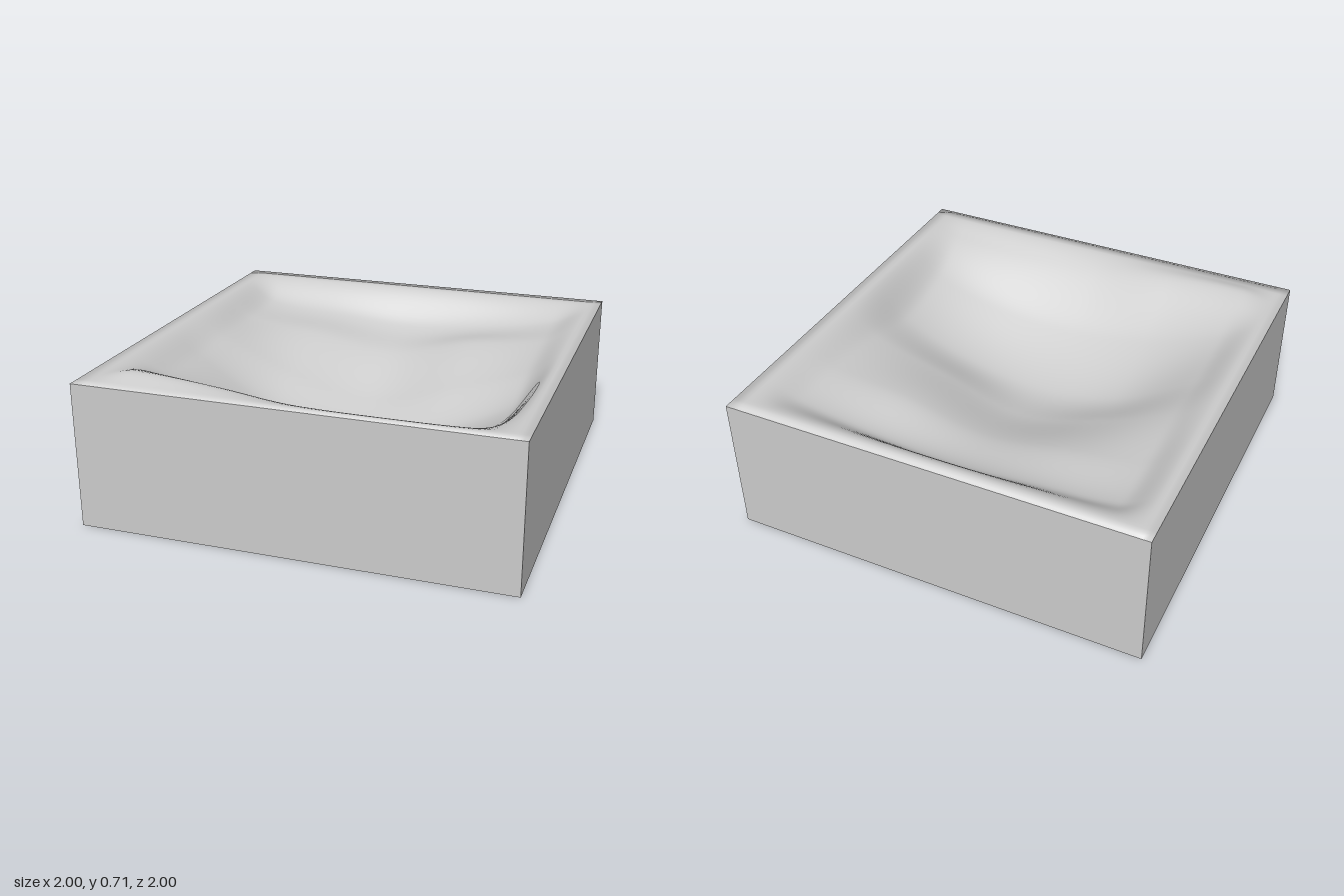
import * as THREE from 'three';

const HEIGHT = 0.68;
const SEGMENTS = 100;
const { clamp, smoothstep } = THREE.MathUtils;

// Depth of the hollow below the rim: one row per z, one column per x
const X_KNOTS = [-0.96, -0.78, -0.4, 0, 0.4, 0.78, 0.96];
const Z_KNOTS = [-0.95, -0.75, -0.45, -0.1, 0.2, 0.55, 0.83, 0.97];
const DEPTHS = [
  [0, 0, 0, 0, 0, 0, 0],
  [0, 0.09, 0.13, 0.16, 0.13, 0.07, 0],
  [0, 0.1, 0.16, 0.22, 0.13, 0.08, 0],
  [0, 0.09, 0.26, 0.35, 0.24, 0.12, 0],
  [0, 0.11, 0.33, 0.4, 0.35, 0.19, 0],
  [0, 0.08, 0.21, 0.27, 0.25, 0.14, 0],
  [0, -0.028, 0, 0.05, 0.06, 0.04, 0], // mound on the front rim at low x
  [0, 0, 0, 0, 0, 0, 0],
];

// Smooth curve through values at uneven knots, level at both ends
function smoothCurve(knots, values, t) {
  const last = knots.length - 1;
  const p = clamp(t, knots[0], knots[last]);
  let i = 0;
  while (i < last - 1 && p > knots[i + 1]) i++;
  const slope = (k) => (k === 0 || k === last
    ? 0
    : (values[k + 1] - values[k - 1]) / (knots[k + 1] - knots[k - 1]));
  const h = knots[i + 1] - knots[i];
  const s = (p - knots[i]) / h;
  const s2 = s * s;
  const s3 = s2 * s;
  return (2 * s3 - 3 * s2 + 1) * values[i] + (s3 - 2 * s2 + s) * h * slope(i)
    + (3 * s2 - 2 * s3) * values[i + 1] + (s3 - s2) * h * slope(i + 1);
}

function surfaceHeight(x, z) {
  const column = DEPTHS.map((row) => smoothCurve(X_KNOTS, row, x));
  return HEIGHT - smoothCurve(Z_KNOTS, column, z);
}

// Upper surface, with its outermost normals leaning outwards
function topGeometry() {
  const geometry = new THREE.PlaneGeometry(2, 2, SEGMENTS, SEGMENTS).rotateX(-Math.PI / 2);
  const pos = geometry.attributes.position;
  for (let i = 0; i < pos.count; i++) {
    pos.setY(i, surfaceHeight(pos.getX(i), pos.getZ(i)));
  }
  geometry.computeVertexNormals();
  const normal = new THREE.Vector3();
  const lean = (v) => Math.sign(v) * (1 - smoothstep(1 - Math.abs(v), 0, 0.07));
  for (let i = 0; i < pos.count; i++) {
    normal.fromBufferAttribute(geometry.attributes.normal, i);
    normal.x += lean(pos.getX(i));
    normal.z += lean(pos.getZ(i));
    normal.normalize();
    geometry.attributes.normal.setXYZ(i, normal.x, normal.y, normal.z);
  }
  return geometry;
}

// Four walls and floor: a box without its upper face
function baseGeometry() {
  const geometry = new THREE.BoxGeometry(2, HEIGHT, 2).translate(0, HEIGHT / 2, 0);
  geometry.setIndex(Array.from(geometry.index.array).filter((_, i) => i < 12 || i >= 18));
  geometry.clearGroups();
  return geometry;
}

export function createModel() {
  const group = new THREE.Group();
  group.name = 'hollowedBlock';
  const material = new THREE.MeshStandardMaterial({ color: 0xcccccc });
  const parts = { base: baseGeometry(), topSurface: topGeometry() };
  for (const [name, geometry] of Object.entries(parts)) {
    const mesh = new THREE.Mesh(geometry, material);
    mesh.name = name;
    group.add(mesh);
  }
  return group;
}
